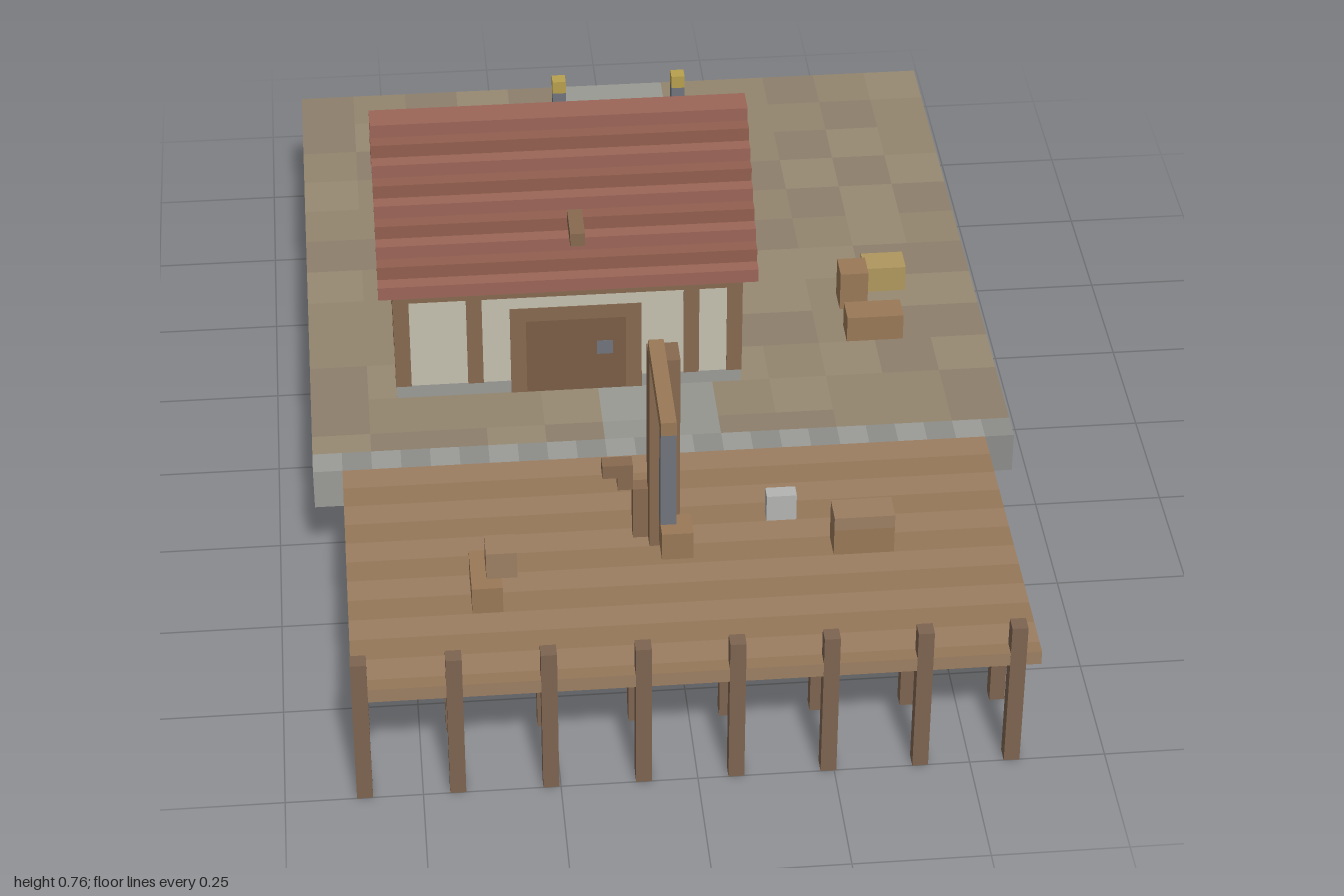
import * as THREE from 'three';
import { mergeGeometries } from 'three/addons/utils/BufferGeometryUtils.js';

const UNIT = 2 / 71; // one block; x runs -24..24, y 0..27, z 0..71 from back to front
const C = {
  earth: [0x93856f, 0x8d7f6b, 0x988a73], path: [0x9a9a94, 0x94958f], stone: [0x9b9b97, 0x8d8d8a],
  plank: [0x9c7e62, 0x957759], tile: [0x9c6658, 0x92604f], plaster: 0xc4c0b0, timber: 0x87694f,
  pile: 0x7d6550, crate: 0x9a7856, straw: 0xb0975f, door: 0x7a5d46, iron: 0x70757c, lamp: 0xb8a04e, floor: 0x63656a,
};

function blockGeometry(x0, x1, y0, y1, z0, z1, grow = 0) {
  const g = new THREE.BoxGeometry(x1 - x0 + 2 * grow, y1 - y0 + 2 * grow, z1 - z0 + 2 * grow);
  return g.translate((x0 + x1) / 2, (y0 + y1) / 2, (z0 + z1) / 2 - 35.5);
}

// Four upright sides without top or bottom
function rimGeometry(...b) {
  const g = blockGeometry(...b);
  const i = Array.from(g.index.array);
  g.setIndex([...i.slice(0, 12), ...i.slice(24)]);
  return g;
}

function quadGeometry(x0, x1, y, z0, z1) {
  const g = new THREE.PlaneGeometry(x1 - x0, z1 - z0).rotateX(-Math.PI / 2);
  return g.translate((x0 + x1) / 2, y, (z0 + z1) / 2 - 35.5);
}

function part(parent, name, color, geometries, open = false) {
  const material = new THREE.MeshStandardMaterial({ color });
  if (open) material.side = THREE.DoubleSide;
  const mesh = new THREE.Mesh(mergeGeometries(geometries), material);
  mesh.name = name;
  parent.add(mesh);
  return mesh;
}

function section(parent, name) {
  const g = new THREE.Group();
  g.name = name;
  parent.add(g);
  return g;
}

const hash = (a, b) => Math.abs(Math.floor(Math.sin(a * 12.9898 + b * 78.233) * 43758.5453));

function buildGround(root) {
  const ground = section(root, 'ground');
  const earth = [[], [], []], path = [[], []];
  // Mottled earth with a paved strip, open beneath the house
  for (let x = -24; x < 24; x += 2) {
    for (let z = 0; z < 46; z += 2) {
      if (x >= -18 && x < 6 && z >= 24 && z < 40) continue;
      const paved = x >= -4 && x < 4;
      const h = hash(Math.floor(x / 4), Math.floor(z / 4));
      (paved ? path[h % 2] : earth[h % 3]).push(quadGeometry(x, x + 2, 9, z, z + 2));
    }
  }
  earth.forEach((g, i) => part(ground, 'earth', C.earth[i], g, true));
  path.forEach((g, i) => part(ground, 'path', C.path[i], g, true));
  part(ground, 'groundEdge', C.earth[0], [rimGeometry(-24, 24, 8, 9, 0, 46.02)], true);
  // Quay wall of alternating stones
  const stones = [[], []];
  for (let i = 0; i < 24; i++) stones[i % 2].push(blockGeometry(-24 + 2 * i, -22 + 2 * i, 6, 9, 46, 48));
  stones.forEach((g, i) => part(ground, 'quayWall', C.stone[i], g));
  // Lamp posts either side of the path
  for (const x of [-5, 4]) {
    part(ground, 'lampPost', C.iron, [blockGeometry(x, x + 1, 9, 14, 8, 9)]);
    part(ground, 'lamp', C.lamp, [blockGeometry(x, x + 1, 14, 15, 8, 9)]);
  }
}

function buildPier(root) {
  const pier = section(root, 'pier');
  const planks = [[], []];
  for (let z = 48; z < 71; z++) planks[(z >> 1) % 2].push(quadGeometry(-22, 22, 9, z, z + 1));
  planks.forEach((g, i) => part(pier, 'deckPlanks', C.plank[i], g, true));
  part(pier, 'deckEdge', C.plank[0], [rimGeometry(-22, 22, 8, 9, 48, 71)], true);
  // Piles; the outer row rises above the deck as bollards
  const piles = [];
  for (let x = -22; x <= 20; x += 6) {
    for (const z of [52, 58, 64]) piles.push(blockGeometry(x, x + 1, 0, 8.98, z, z + 1));
    piles.push(blockGeometry(x, x + 1, 0, 11, 70, 71, 0.015).translate(0, 0.015, 0));
  }
  part(pier, 'piles', C.pile, piles);
}

function buildHouse(root) {
  const house = section(root, 'house');
  part(house, 'foundation', C.stone[0], [rimGeometry(-18, 6, 9, 10, 24, 40)], true);
  part(house, 'floor', C.floor, [quadGeometry(-18, 6, 9.95, 24, 40)], true);
  const walls = [blockGeometry(-18, 6, 10, 18, 24, 40)];
  const tiles = [[], []];
  // Stepped gables and roof courses
  for (let i = 0; i < 9; i++) {
    const y = 18 + i;
    if (i < 8) walls.push(blockGeometry(-18, 6, y, y + 1, 24 + i, 40 - i));
    tiles[i % 2].push(blockGeometry(-19, 7, y, y + 1, 23 + i, 24 + i), blockGeometry(-19, 7, y, y + 1, 40 - i, 41 - i));
  }
  part(house, 'walls', C.plaster, walls);
  tiles.forEach((g, i) => part(house, 'roofTiles', C.tile[i], g));
  // Timber frame: posts on all sides and a top beam
  const frame = [blockGeometry(-18, 6, 17, 17.95, 24, 40, 0.04)];
  for (const x of [-18, -13, -8, -3, 2, 5]) {
    frame.push(blockGeometry(x, x + 1, 10, 17, 24, 25, 0.04));
    if (x !== -8 && x !== -3) frame.push(blockGeometry(x, x + 1, 10, 17, 39, 40, 0.04));
  }
  for (const z of [29, 34]) {
    for (const x of [-18, 5]) frame.push(blockGeometry(x, x + 1, 10, 17, z, z + 1, 0.04));
  }
  part(house, 'timberFrame', C.timber, frame);
  // Wide front door and narrow back door
  part(house, 'doorFrames', C.timber, [
    blockGeometry(-10, -1, 15, 16, 39, 40, 0.05),
    blockGeometry(-10, -9, 9, 15, 39, 40, 0.05), blockGeometry(-2, -1, 9, 15, 39, 40, 0.05),
    blockGeometry(-8, -7, 9, 15, 24, 25, 0.05), blockGeometry(-3, -2, 9, 15, 24, 25, 0.05),
    blockGeometry(-8, -2, 15, 16, 24, 25, 0.05),
  ]);
  part(house, 'doors', C.door, [blockGeometry(-9, -2, 9, 15, 39, 40, 0.04), blockGeometry(-7, -3, 9, 15, 24, 25, 0.04)]);
  part(house, 'doorHandles', C.iron, [blockGeometry(-4, -3, 12, 13, 39, 40, 0.06), blockGeometry(-7, -6, 12, 13, 24, 25, 0.06)]);
  // Back window with a projecting sill
  part(house, 'windowFrame', C.timber, [blockGeometry(-17, -13, 12, 16, 24, 25, 0.05)]);
  part(house, 'windowPane', C.iron, [blockGeometry(-16, -14, 12, 15, 24, 25, 0.07)]);
  part(house, 'windowSill', C.crate, [blockGeometry(-17, -13, 11, 12, 23, 24)]);
  part(house, 'hoistBeam', C.timber, [blockGeometry(-6, -5, 23, 24, 40, 43)]);
}

function buildCrane(root) {
  const crane = section(root, 'crane');
  part(crane, 'cranePost', C.timber, [blockGeometry(-2, 0, 9, 24, 56, 58)]);
  part(crane, 'craneArm', C.crate, [blockGeometry(-2, -1, 24, 25, 57, 66)]);
  part(crane, 'craneRope', C.iron, [blockGeometry(-2, -1, 17, 24, 65, 66)]);
  part(crane, 'hangingCrate', C.crate, [blockGeometry(-2, 0, 15, 17, 65, 67)]);
  // Stepped brace beside the post
  part(crane, 'craneBrace', C.timber, [
    blockGeometry(-3, -2, 9, 13, 56, 57), blockGeometry(-4, -3, 13, 15, 56, 57), blockGeometry(-5, -4, 14, 15, 56, 57),
  ]);
}

function buildCargo(root) {
  const cargo = section(root, 'cargo');
  const items = [
    ['strawCrate', C.straw, 16, 19, 9, 11, 28, 30],
    ['tallCrate', C.crate, 14, 16, 9, 12, 30, 32],
    ['longCrate', C.crate, 14, 18, 9, 11, 34, 36],
    ['deckCrate', C.crate, 10, 14, 9, 11, 58, 60],
    ['deckCrateLid', C.plank[0], 10, 14, 11, 12, 58, 60],
    ['stoneBlock', 0xb4b5b2, 6, 8, 9, 11, 55, 56],
    ['lowerCrate', C.crate, -14, -12, 9, 11, 60, 64],
    ['upperCrate', C.plank[0], -13, -11, 11, 13, 61, 63],
  ];
  for (const [name, color, ...b] of items) part(cargo, name, color, [blockGeometry(...b)]);
}

export function createModel() {
  const root = new THREE.Group();
  root.name = 'harbourHouse';
  for (const build of [buildGround, buildPier, buildHouse, buildCrane, buildCargo]) build(root);
  root.scale.setScalar(UNIT);
  return root;
}
